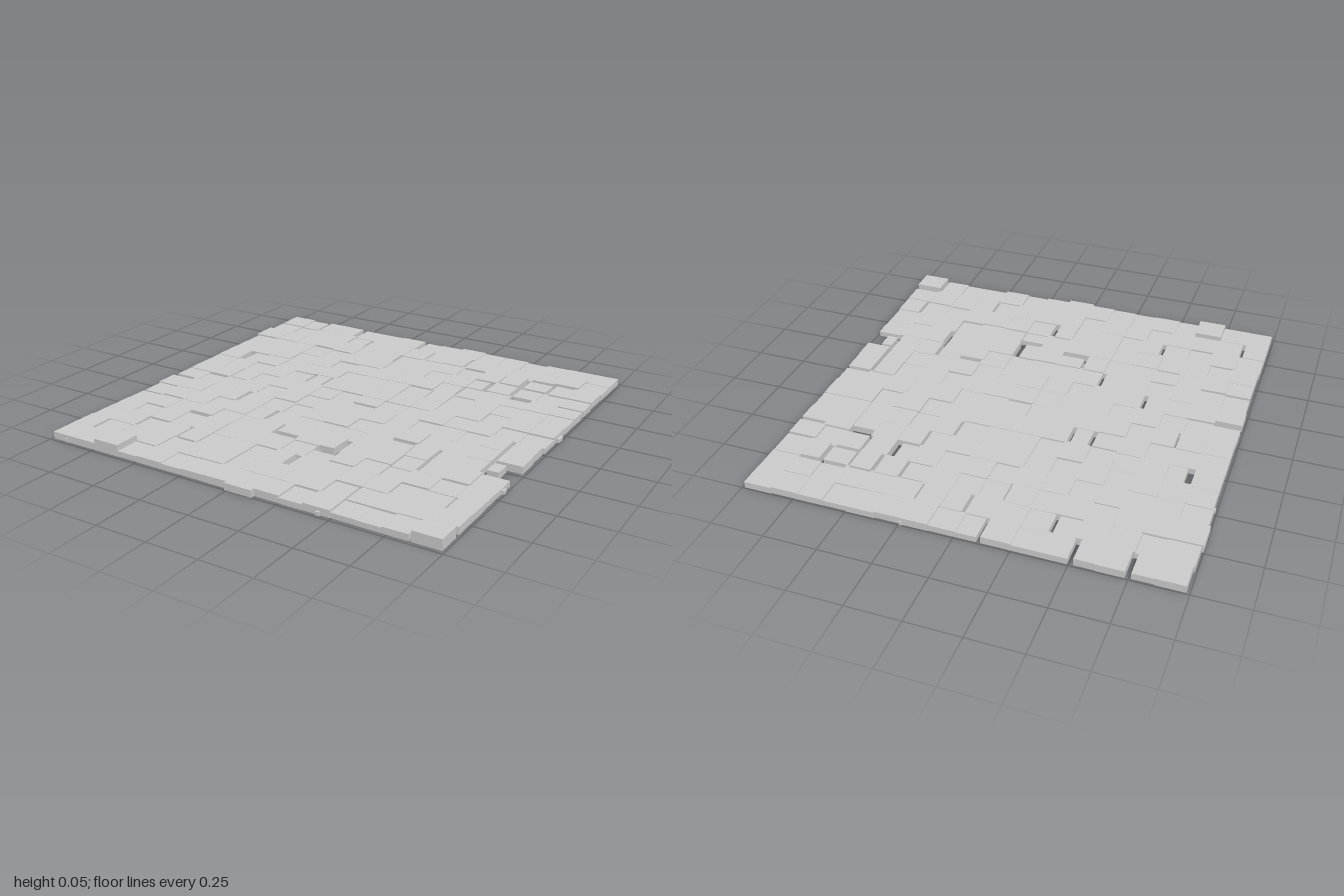
import * as THREE from 'three';

const N = 16, PITCH = 0.1228, START_X = -0.984, START_Z = -0.988;

// Open seams between tiles: [x0, x1, z0, z1]
const seamsAlongZ = [
  [-0.76, -0.735, -1, -0.87], [-0.52, -0.495, -1, -0.87], [-0.115, -0.1, -1, -0.87],
  [-0.39, -0.375, -0.86, -0.75], [0, 0.015, -0.86, -0.74], [0.232, 0.242, -0.86, -0.74],
  [-0.13, -0.12, -0.74, -0.63], [0.36, 0.37, -0.73, -0.62], [0.485, 0.5, -0.74, -0.63],
  [0.6, 0.62, -0.74, -0.5], [0.745, 0.76, -0.74, -0.64], [0.45, 0.475, -0.6, -0.5],
  [0.36, 0.375, -0.5, -0.39], [0.25, 0.26, -0.38, -0.27], [-0.85, -0.825, -0.37, -0.27],
  [-0.37, -0.35, -0.25, -0.13], [-0.27, -0.26, -0.25, -0.13], [-0.735, -0.725, -0.13, -0.01],
  [-0.52, -0.5, 0.12, 0.24], [-0.27, -0.255, 0.25, 0.36], [0.6, 0.62, 0.24, 0.36],
  [0.845, 0.865, 0.01, 0.35], [0.92, 1, 0.25, 0.35], [-0.14, -0.125, 0.36, 0.45],
  [0.2, 0.235, 0.37, 0.48], [0.6, 0.625, 0.36, 0.48], [-0.49, -0.47, 0.61, 0.72],
  [0.09, 0.1, 0.61, 0.72], [0.865, 0.875, 0.61, 0.72], [-0.88, -0.865, 0.74, 0.84],
  [0.485, 0.497, 0.73, 0.85], [0.845, 0.855, 0.86, 0.98],
];
const seamsAlongX = [
  [0.62, 0.82, -0.76, -0.735], [0.24, 0.36, -0.742, -0.73], [0.61, 0.75, -0.635, -0.615],
  [-0.61, -0.5, -0.632, -0.62], [0.85, 1, -0.615, -0.6], [0.61, 0.73, -0.505, -0.46],
  [0.37, 0.46, -0.505, -0.49], [0.85, 1, -0.49, -0.475], [-0.5, -0.38, -0.25, -0.24],
  [0, 0.12, -0.03, -0.015], [-0.86, -0.74, 0, 0.01], [0.85, 1, -0.015, -0.005],
  [-1, -0.86, 0.1, 0.135], [0.36, 0.47, 0.24, 0.27], [0.86, 1, 0.225, 0.245],
  [-1, -0.74, 0.36, 0.375], [0.85, 1, 0.325, 0.355], [-0.13, 0, 0.445, 0.48],
  [-0.6, -0.5, 0.46, 0.475], [0.12, 0.235, 0.48, 0.525], [0.24, 0.35, 0.59, 0.6],
  [0.73, 0.85, 0.49, 0.5], [0.85, 1, 0.84, 0.865],
];

// Individually raised tiles, keyed by column,row
const raised = { '2,15': 0.055, '15,15': 0.05, '12,2': 0.042, '0,2': 0.037 };

function seededRandom(seed) {
  return () => {
    seed = (seed * 16807) % 2147483647;
    return seed / 2147483647;
  };
}

// Pulls back one side of a tile [min, max] so that it clears a seam
function trim(span, a, b) {
  if (span[1] <= a || span[0] >= b) return;
  if (span[1] - a < b - span[0]) span[1] = a;
  else span[0] = b;
}
const overlap = (span, a, b) => Math.min(span[1], b) - Math.max(span[0], a);

export function createModel() {
  const group = new THREE.Group();
  group.name = 'pavedFloor';
  const material = new THREE.MeshStandardMaterial({
    color: 0xcccccc, flatShading: true, side: THREE.DoubleSide,
  });

  // Hollow block without an underside
  const shell = new THREE.BoxGeometry(1, 1, 1).translate(0, 0.5, 0);
  const index = Array.from(shell.index.array);
  index.splice(18, 6);
  shell.setIndex(index);
  shell.clearGroups();

  function addBlock(name, xs, zs, height) {
    const mesh = new THREE.Mesh(shell, material);
    mesh.name = name;
    mesh.scale.set(xs[1] - xs[0], height, zs[1] - zs[0]);
    mesh.position.set((xs[0] + xs[1]) / 2, 0, (zs[0] + zs[1]) / 2);
    group.add(mesh);
  }

  // Paving tiles with slightly uneven edges and heights
  const random = seededRandom(4711);
  for (let row = 0; row < N; row++) {
    for (let col = 0; col < N; col++) {
      const grow = () => 0.001 + random() * 0.007;
      const x = START_X + col * PITCH, z = START_Z + row * PITCH;
      const xs = [x - grow(), x + PITCH + grow()];
      const zs = [z - grow(), z + PITCH + grow()];
      for (const [x0, x1, z0, z1] of seamsAlongZ) {
        if (overlap(zs, z0, z1) > 0.04) trim(xs, x0, x1);
      }
      for (const [x0, x1, z0, z1] of seamsAlongX) {
        if (overlap(xs, x0, x1) > 0.04) trim(zs, z0, z1);
      }
      if (col === 0 && row === 2) xs[0] = -1;
      if (col === 8 && row === 15) zs[1] = 1;
      const height = 0.022 + 0.014 * Math.sqrt(random());
      addBlock('tile', xs, zs, raised[`${col},${row}`] ?? height);
    }
  }

  // Small chips along the border: x, z, width, depth
  const chips = [
    [0.987, -0.18, 0.026, 0.045], [0.988, 0.43, 0.02, 0.025], [0.44, 0.98, 0.018, 0.02],
    [0.24, -0.99, 0.014, 0.02], [-0.91, 0.978, 0.016, 0.016], [-0.985, -0.48, 0.02, 0.016],
  ];
  for (const [x, z, w, d] of chips) {
    addBlock('stoneChip', [x - w / 2, x + w / 2], [z - d / 2, z + d / 2], 0.018);
  }
  return group;
}
